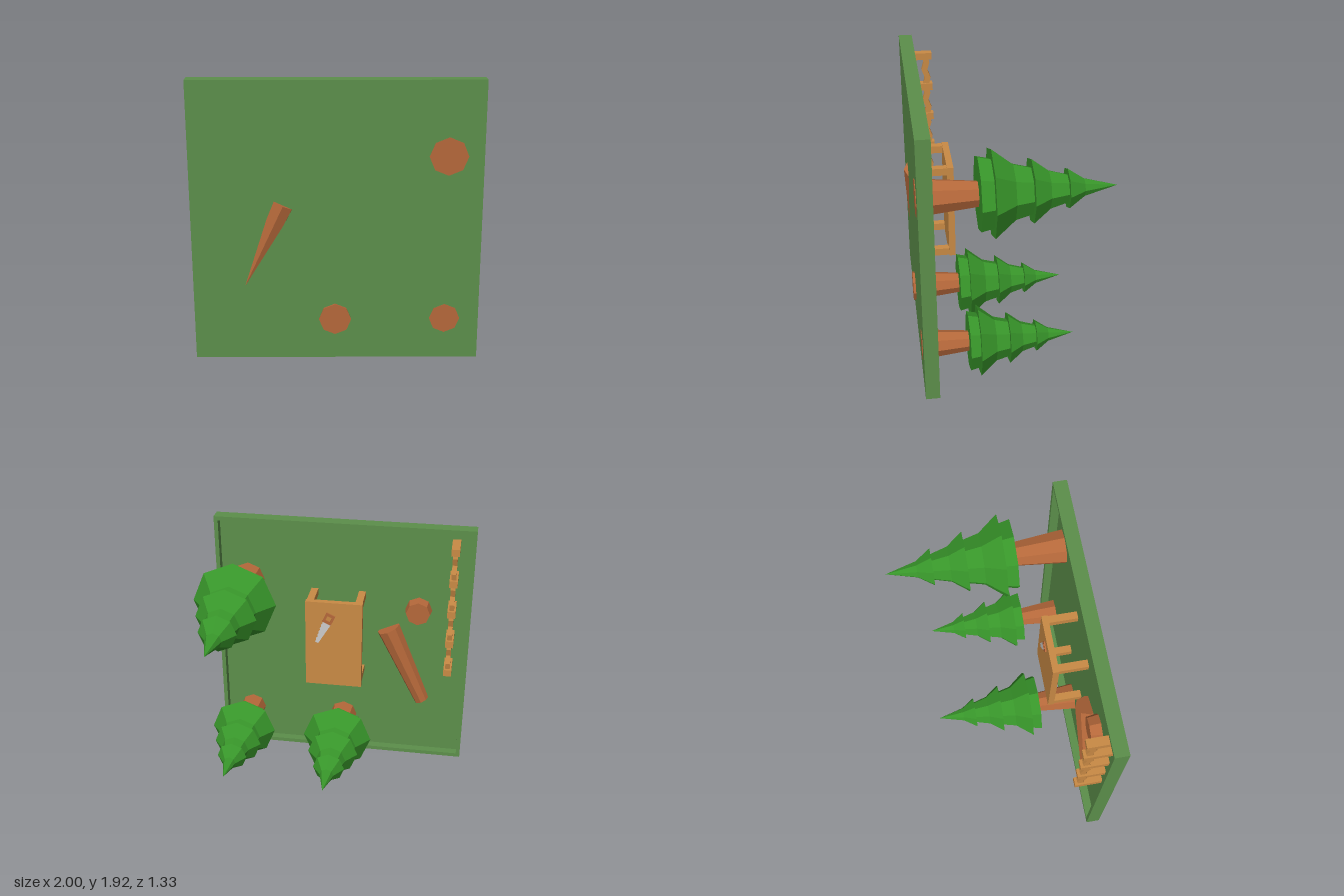
import * as THREE from 'three';

const mat = (color, extra = {}) => new THREE.MeshStandardMaterial({ color, flatShading: true, ...extra });
const grass = mat(0x5c8f4b), leaf = mat(0x38962a), bark = mat(0xb5683a), plank = mat(0xc98a45);
const steel = mat(0xcccccc);

function add(parent, name, geometry, material, x = 0, y = 0, z = 0) {
  const mesh = new THREE.Mesh(geometry, material);
  mesh.name = name;
  mesh.position.set(x, y, z);
  parent.add(mesh);
  return mesh;
}

// Box given by its min and max corners
function box(parent, name, material, [x0, y0, z0], [x1, y1, z1]) {
  return add(parent, name, new THREE.BoxGeometry(x1 - x0, y1 - y0, z1 - z0), material,
    (x0 + x1) / 2, (y0 + y1) / 2, (z0 + z1) / 2);
}

// Tapered eight-sided rod between two points
function rod(parent, name, from, to, r0, r1, material) {
  const a = new THREE.Vector3(...from), b = new THREE.Vector3(...to);
  const dir = b.clone().sub(a);
  const mesh = add(parent, name, new THREE.CylinderGeometry(r1, r0, dir.length(), 8), material);
  mesh.position.copy(a).add(b).multiplyScalar(0.5);
  mesh.quaternion.setFromUnitVectors(new THREE.Vector3(0, 1, 0), dir.normalize());
  return mesh;
}

function extrude(points, depth, hole) {
  const v = (list) => list.map(([x, y]) => new THREE.Vector2(x, y));
  const shape = new THREE.Shape(v(points));
  if (hole) shape.holes.push(new THREE.Path(v(hole)));
  return new THREE.ExtrudeGeometry(shape, { depth, bevelEnabled: false });
}

const rect = (x0, y0, x1, y1) => [[x0, y0], [x1, y0], [x1, y1], [x0, y1]];

// Conifer: trunk and tiered foliage, growing towards -z
function tree(x, y, z, scale) {
  const g = new THREE.Group();
  g.name = 'tree';
  add(g, 'trunk', new THREE.CylinderGeometry(0.085, 0.128, 0.42, 8), bark, 0, 0.21, 0);
  const profile = [[0, 0.4], [0.255, 0.4], [0.235, 0.485], [0.305, 0.485], [0.19, 0.625], [0.16, 0.74],
    [0.22, 0.74], [0.13, 0.855], [0.095, 0.975], [0.137, 0.975], [0.06, 1.085], [0, 1.305]];
  add(g, 'foliage', new THREE.LatheGeometry(profile.map(([r, h]) => new THREE.Vector2(r, h)), 8), leaf);
  g.rotation.x = -Math.PI / 2;
  g.position.set(x, y, z);
  g.scale.setScalar(scale);
  return g;
}

// Table with four legs and a handsaw lying on it
function table() {
  const g = new THREE.Group();
  g.name = 'table';
  box(g, 'tableTop', plank, [-0.215, 0.69, 0.35], [0.21, 1.38, 0.395]);
  for (const x of [-0.21, 0.152]) {
    for (const y of [0.694, 1.324]) box(g, 'tableLeg', plank, [x, y, 0.39], [x + 0.053, y + 0.052, 0.605]);
  }
  const saw = new THREE.Group();
  saw.name = 'handsaw';
  add(saw, 'sawHandle', extrude(rect(-0.036, 0, 0.036, 0.08), 0.012, rect(-0.018, 0.02, 0.018, 0.06)), bark);
  const blade = [[-0.034, 0], [-0.012, -0.18], [0.016, -0.18]];
  // toothed edge
  for (let i = 0; i <= 6; i++) {
    const t = i / 6, edge = 0.016 + 0.018 * t;
    blade.push([edge, -0.18 + 0.18 * t]);
    if (i < 6) blade.push([edge - 0.006, -0.165 + 0.18 * t]);
  }
  add(saw, 'sawBlade', extrude(blade, 0.007), steel, 0, 0, 0.003);
  saw.position.set(0.05, 1.215, 0.34);
  saw.rotation.z = 0.42;
  g.add(saw);
  return g;
}

// Fence: five posts joined by crooked rails
function fence() {
  const g = new THREE.Group();
  g.name = 'fence';
  const step = 0.2425, first = 0.838;
  for (let i = 0; i < 5; i++) {
    const y = first + i * step;
    box(g, 'fencePost', plank, [-0.888, y - 0.026, 0.405], [-0.828, y + 0.026, 0.605]);
    if (i === 4) continue;
    const centre = [[0, 0.455], [0.3, 0.44], [0.55, 0.462], [0.78, 0.445], [1, 0.455]];
    const side = (d) => centre.map(([t, z]) => [z + d, y + t * step]);
    const rail = add(g, 'fenceRail', extrude([...side(-0.022), ...side(0.022).reverse()], 0.035), plank, -0.84, 0, 0);
    // profile x runs along z, depth runs along -x
    rail.rotation.y = -Math.PI / 2;
  }
  return g;
}

export function createModel() {
  const model = new THREE.Group();
  model.name = 'forestClearing';

  // Ground tray with a raised rim
  const ground = new THREE.Group();
  ground.name = 'ground';
  box(ground, 'groundPlate', grass, [-1, 0, 0.6], [0.92, 1.925, 0.637]);
  add(ground, 'groundRim', extrude(rect(-1, 0, 0.92, 1.925), 0.06, rect(-0.97, 0.03, 0.89, 1.895)), grass, 0, 0, 0.54);
  model.add(ground);

  model.add(tree(0.69, 1.425, 0.641, 1));
  model.add(tree(-0.05, 0.29, 0.655, 0.855));
  model.add(tree(0.69, 0.29, 0.64, 0.805));
  model.add(table(), fence());

  // Half-sunk fallen log and a stump
  rod(model, 'fallenLog', [-0.67, 0.49, 0.578], [-0.39, 1.095, 0.578], 0.057, 0.09, bark);
  rod(model, 'stump', [-0.61, 1.255, 0.625], [-0.61, 1.255, 0.52], 0.105, 0.09, bark);
  return model;
}
